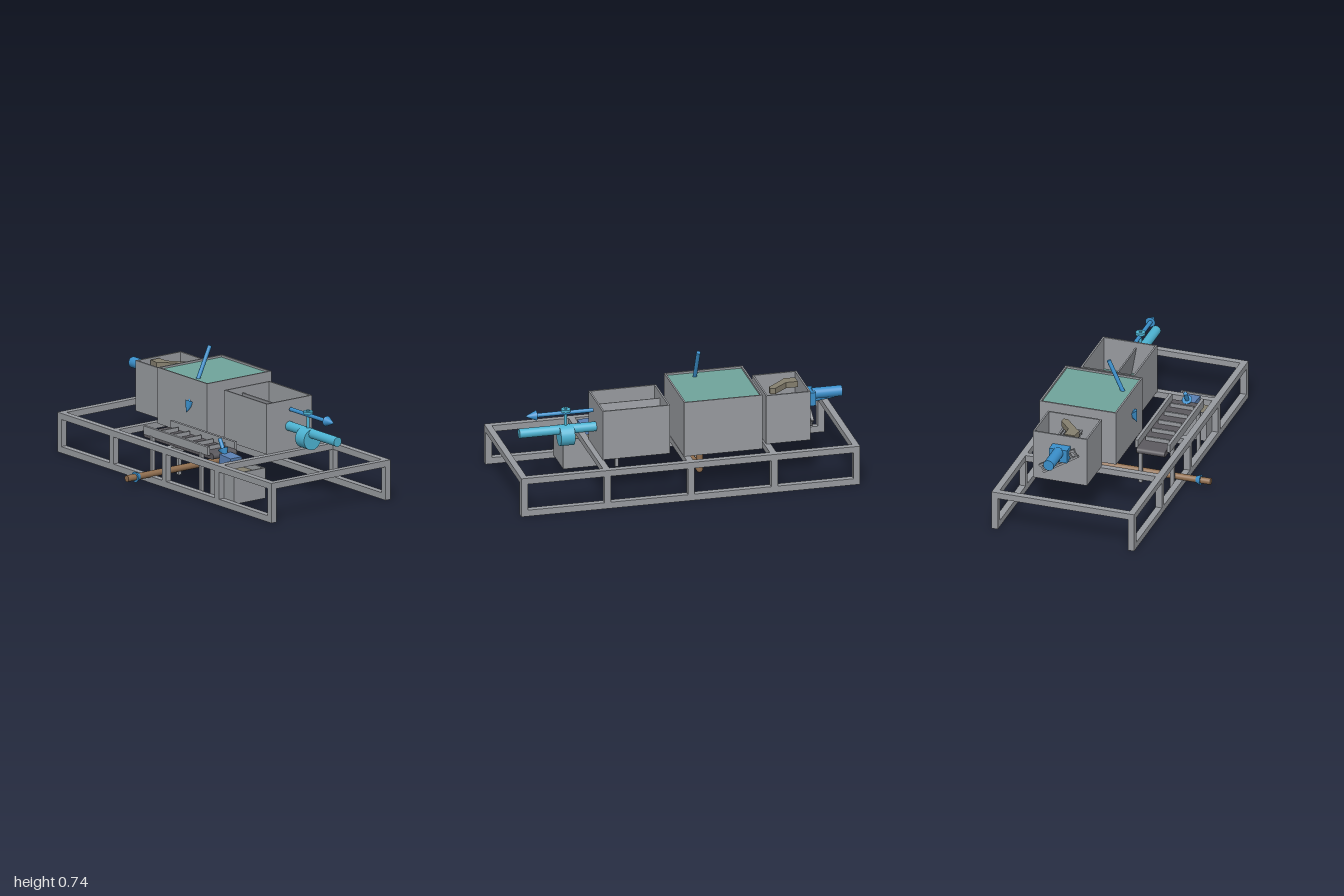
import * as THREE from 'three';

const mat = (name, color, side = THREE.FrontSide) => {
  const m = new THREE.MeshStandardMaterial({ color, side });
  m.name = name;
  return m;
};

export function createModel() {
  const steel = mat('steel grey', 0x979a9f);
  const water = mat('water teal', 0x6fa49b);
  const blue = mat('arrow blue', 0x3a8fcb);
  const cyan = mat('pipe cyan', 0x4db3d2);
  const brown = mat('drain brown', 0x8f6d4e);
  const belt = mat('belt dark grey', 0x5c5a5f);
  const olive = mat('solids olive', 0x857f6e);
  const chuteBlue = mat('chute blue', 0x5b80b4);

  const root = new THREE.Group();
  root.name = 'waterTreatmentLine';
  const group = (name) => {
    const g = new THREE.Group();
    g.name = name;
    root.add(g);
    return g;
  };
  const add = (parent, name, geo, m) => {
    const mesh = new THREE.Mesh(geo, m);
    mesh.name = name;
    parent.add(mesh);
    return mesh;
  };
  // Box given by its limits on each axis
  const box = (parent, name, m, x0, x1, y0, y1, z0, z1) => {
    const b = add(parent, name, new THREE.BoxGeometry(x1 - x0, y1 - y0, z1 - z0), m);
    b.position.set((x0 + x1) / 2, (y0 + y1) / 2, (z0 + z1) / 2);
    return b;
  };
  // Round bar from point a to point b, optionally tapered
  const rod = (parent, name, m, a, b, ra, rb = ra) => {
    const p = new THREE.Vector3(...a), q = new THREE.Vector3(...b);
    const dir = q.clone().sub(p);
    const c = add(parent, name, new THREE.CylinderGeometry(rb, ra, dir.length(), 24), m);
    c.position.copy(p).add(q).multiplyScalar(0.5);
    c.quaternion.setFromUnitVectors(new THREE.Vector3(0, 1, 0), dir.normalize());
    return c;
  };
  const arrow = (name, a, b) => {
    const g = group(name);
    const p = new THREE.Vector3(...a), q = new THREE.Vector3(...b);
    const neck = q.clone().add(p.sub(q).setLength(0.07)).toArray();
    rod(g, 'arrowShaft', blue, a, neck, 0.012);
    rod(g, 'arrowHead', blue, neck, b, 0.03, 0);
  };
  // Open tank with walls and a floor
  const tank = (name, x0, x1, y0, y1, z0, z1, t = 0.01) => {
    const g = group(name);
    box(g, 'floor', steel, x0, x1, y0, y0 + t, z0, z1);
    box(g, 'backWall', steel, x0, x1, y0, y1, z0, z0 + t);
    box(g, 'frontWall', steel, x0, x1, y0, y1, z1 - t, z1);
    box(g, 'rightWall', steel, x0, x0 + t, y0, y1, z0 + t, z1 - t);
    box(g, 'leftWall', steel, x1 - t, x1, y0, y1, z0 + t, z1 - t);
    return g;
  };

  // Support frame
  const frame = group('frame');
  for (const z of [-0.495, 0.33]) {
    box(frame, 'topRail', steel, -1, 1, 0.198, 0.235, z - 0.019, z + 0.019);
    box(frame, 'bottomRail', steel, -1, 1, 0, 0.038, z - 0.019, z + 0.019);
  }
  for (const x of [-0.981, -0.495, -0.004, 0.49, 0.981]) {
    box(frame, 'crossBeam', steel, x - 0.019, x + 0.019, 0.198, 0.235, -0.476, 0.311);
    for (const z of [-0.495, 0.33])
      box(frame, 'post', steel, x - 0.019, x + 0.019, 0.038, 0.198, z - 0.019, z + 0.019);
  }

  // Main tank, filled near the rim
  const main = tank('mainTank', -0.45, 0.013, 0.235, 0.567, -0.415, 0.05);
  box(main, 'waterFill', water, -0.44, 0.003, 0.245, 0.555, -0.405, 0.04);
  arrow('inflowArrow', [-0.152, 0.735, -0.098], [-0.152, 0.365, 0.074]);

  // Outlet tank with a steep baffle
  const outlet = tank('outletTank', 0.08, 0.477, 0.235, 0.533, -0.35, -0.022);
  box(outlet, 'waterFill', water, 0.09, 0.467, 0.245, 0.33, -0.34, -0.032);
  const baffle = box(outlet, 'baffle', steel, 0.09, 0.467, 0.3, 0.5, -0.169, -0.161);
  baffle.rotation.x = 0.17;

  // Inlet tank with a slatted screen and caught solids
  const inlet = tank('inletTank', -0.75, -0.487, 0.235, 0.533, -0.35, -0.022);
  for (let i = 0; i < 7; i++) {
    const z = -0.25 + i * 0.018;
    box(inlet, 'screenSlat', steel, -0.74, -0.497, 0.44, 0.448, z - 0.005, z + 0.005);
  }
  for (let i = 0; i < 9; i++) {
    const x = -0.725 + i * 0.026;
    box(inlet, 'screenBar', steel, x - 0.003, x + 0.003, 0.43, 0.44, -0.255, -0.135);
  }
  const outline = [[-0.72, -0.17], [-0.65, -0.17], [-0.57, -0.24], [-0.54, -0.235],
    [-0.54, -0.21], [-0.64, -0.12], [-0.655, -0.1], [-0.72, -0.11]];
  const solidsShape = new THREE.Shape(outline.map(([x, z]) => new THREE.Vector2(x, -z)));
  const solids = add(inlet, 'caughtSolids',
    new THREE.ExtrudeGeometry(solidsShape, { depth: 0.035, bevelEnabled: false }), olive);
  solids.rotation.x = -Math.PI / 2;
  solids.position.y = 0.493;

  // Inclined rack outside the inlet tank
  const rack = group('inclinedRack');
  rack.position.set(-0.773, 0.38, -0.185);
  rack.rotation.x = -0.57;
  for (const y of [-0.022, 0.022])
    box(rack, 'rackRail', steel, -0.008, 0.008, y - 0.006, y + 0.006, -0.125, 0.125);
  for (let i = 0; i < 8; i++) {
    const z = -0.115 + i * 0.033;
    box(rack, 'rackRung', steel, -0.006, 0.006, -0.022, 0.022, z - 0.005, z + 0.005);
  }

  // Inlet motor and pipe
  const drive = group('inletDrive');
  box(drive, 'housing', blue, -0.812, -0.75, 0.393, 0.473, -0.23, -0.122);
  rod(drive, 'inletPipe', blue, [-0.975, 0.45, -0.178], [-0.8, 0.45, -0.178], 0.032);
  rod(drive, 'lowerRod', blue, [-0.93, 0.427, -0.178], [-0.79, 0.41, -0.178], 0.014);

  // Outlet pipe and valve
  const out = group('outletPipe');
  rod(out, 'pipe', cyan, [0.475, 0.378, -0.185], [0.93, 0.378, -0.185], 0.028);
  rod(out, 'valveBody', cyan, [0.612, 0.343, -0.185], [0.695, 0.343, -0.185], 0.062);
  rod(out, 'valveStem', cyan, [0.654, 0.39, -0.185], [0.654, 0.51, -0.185], 0.009);
  rod(out, 'valveKnob', cyan, [0.654, 0.487, -0.185], [0.654, 0.503, -0.185], 0.028);
  arrow('outflowArrow', [0.492, 0.48, -0.185], [0.897, 0.48, -0.185]);

  // Drain pipe under the main tank
  const drain = group('drainPipe');
  rod(drain, 'drop', brown, [-0.137, 0.235, -0.182], [-0.137, 0.05, -0.182], 0.019);
  rod(drain, 'run', brown, [-0.137, 0.05, -0.182], [-0.137, 0.05, 0.515], 0.019);
  add(drain, 'elbow', new THREE.SphereGeometry(0.019, 20, 12), brown).position.set(-0.137, 0.05, -0.182);
  rod(drain, 'drainArrowHead', blue, [-0.137, 0.05, 0.455], [-0.137, 0.05, 0.385], 0.031, 0);

  // Conveyor with cleats, guards and legs
  const conveyor = group('conveyor');
  box(conveyor, 'belt', belt, -0.263, 0.358, 0.23, 0.264, 0.113, 0.283);
  for (const x of [-0.263, 0.358])
    rod(conveyor, 'endRoller', belt, [x, 0.247, 0.113], [x, 0.247, 0.283], 0.017);
  for (let i = 0; i < 5; i++) {
    const x = -0.158 + i * 0.108;
    box(conveyor, 'cleat', steel, x - 0.006, x + 0.006, 0.26, 0.288, 0.128, 0.27);
  }
  for (const z of [0.104, 0.297]) {
    box(conveyor, 'guard', steel, -0.25, 0.35, 0.255, 0.305, z - 0.009, z + 0.009);
    for (const x of [-0.178, 0.28])
      box(conveyor, 'leg', steel, x - 0.01, x + 0.01, 0, 0.26, z - 0.011, z + 0.011);
  }

  // Collecting bin, discharge chute and its arrow
  const bin = tank('collectingBin', 0.375, 0.6, 0.02, 0.2, 0.083, 0.31);
  box(bin, 'collectedSolids', olive, 0.385, 0.59, 0.03, 0.165, 0.093, 0.3);
  const chute = box(group('dischargeChute'), 'chute', chuteBlue, 0.372, 0.475, 0.19, 0.255, 0.157, 0.24);
  chute.rotation.z = -0.06;
  arrow('dischargeArrow', [0.325, 0.335, 0.2], [0.39, 0.22, 0.2]);

  return root;
}
